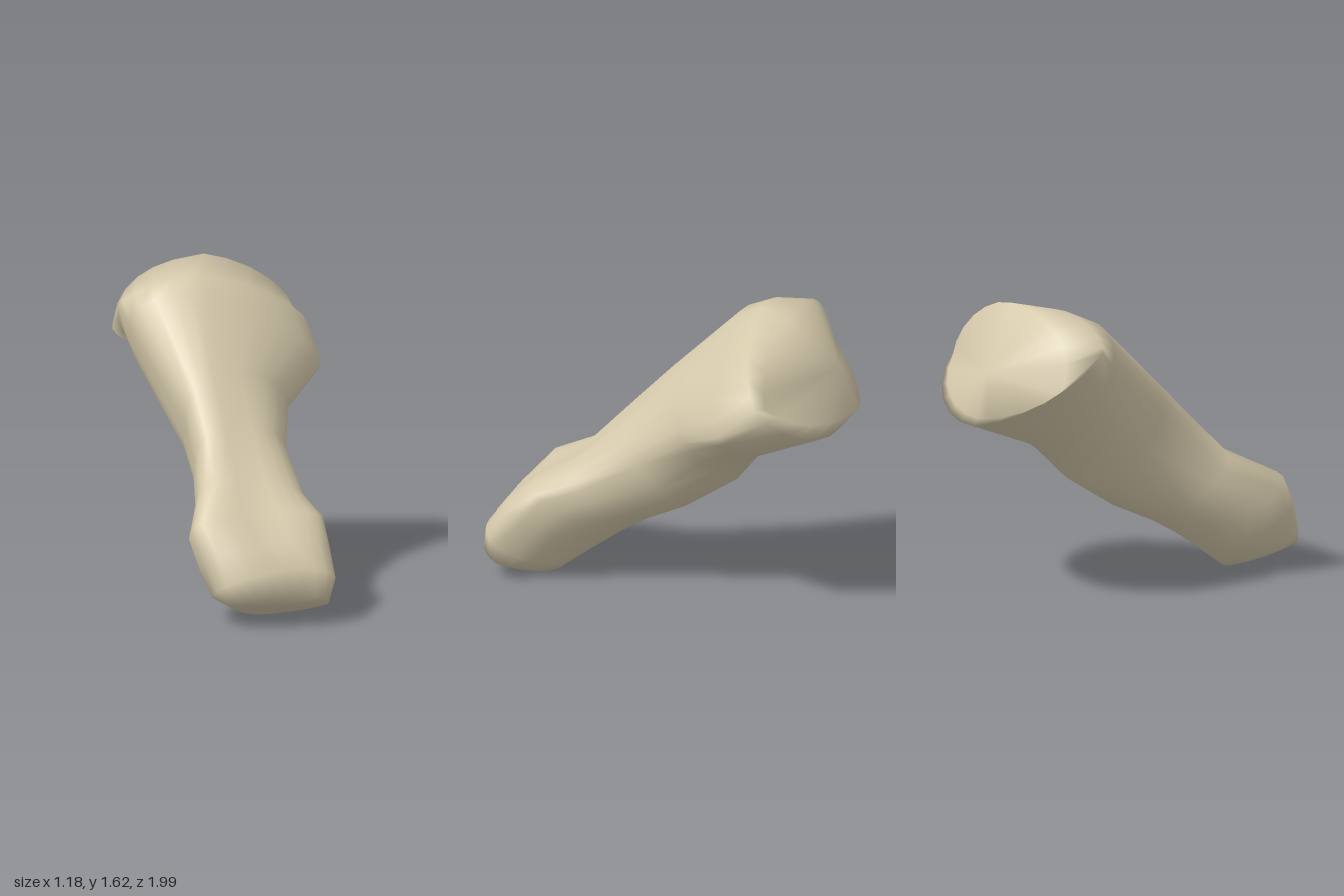
import * as THREE from 'three';

// Cross-sections from the lower joint to the upper head.
// Each one: right (+x), top, left (-x) and underside points, then optionally how full each
// quarter is: right-top, top-left, left-under, under-right (low = square, high = pointed).
const SECTIONS = [
  [[0.07, 0.09, 0.90], [-0.02, 0.15, 0.99], [-0.46, 0.13, 0.90], [-0.20, 0, 0.62], [1.7, 1.2, 1.4, 1.1]],
  [[0.09, 0.17, 0.87], [-0.10, 0.30, 0.95], [-0.52, 0.19, 0.83], [-0.20, 0.06, 0.54]],
  [[0.13, 0.35, 0.76], [-0.20, 0.41, 0.85], [-0.56, 0.33, 0.73], [-0.20, 0.15, 0.41]],
  [[0.15, 0.48, 0.65], [-0.22, 0.54, 0.69], [-0.59, 0.48, 0.65], [-0.18, 0.23, 0.30]],
  [[0.13, 0.54, 0.46], [-0.18, 0.67, 0.48], [-0.44, 0.60, 0.38], [-0.14, 0.32, 0.16]],
  [[0.16, 0.72, 0.14], [-0.16, 0.91, 0.25], [-0.37, 0.74, 0.18], [-0.08, 0.44, -0.08]],
  [[0.29, 0.91, -0.13], [-0.12, 1.16, 0], [-0.335, 0.89, -0.02], [-0.03, 0.62, -0.35], [1.1, 0.9, 0.9, 1.3]],
  [[0.58, 1.06, -0.37], [-0.08, 1.48, -0.32], [-0.46, 1.34, -0.47], [0.02, 0.81, -0.50], [1.1, 1.3, 0.9, 1.4]],
  [[0.59, 1.23, -0.57], [-0.05, 1.56, -0.47], [-0.48, 1.42, -0.56], [0.10, 0.99, -0.92], [1.2, 1.5, 1, 1.1]],
  [[0.55, 1.23, -0.62], [0.06, 1.62, -0.70], [-0.42, 1.27, -0.78], [0, 1.07, -1], [1.1, 0.75, 1.4, 1]],
];
const SIDES = 24;

// Rounded ring through the four points of a section
function ring([r, t, l, u, fullness]) {
  const [right, top, left, under] = [r, t, l, u].map((p) => new THREE.Vector3(...p));
  const centre = new THREE.Vector3().add(right).add(top).add(left).add(under).multiplyScalar(0.25);
  return Array.from({ length: SIDES }, (_, j) => {
    const a = (j / SIDES) * Math.PI * 2;
    const c = Math.cos(a), s = Math.sin(a);
    const power = fullness ? fullness[Math.floor((4 * j) / SIDES)] : 0.95;
    return centre.clone()
      .addScaledVector((c > 0 ? right : left).clone().sub(centre), Math.abs(c) ** power)
      .addScaledVector((s > 0 ? top : under).clone().sub(centre), Math.abs(s) ** power);
  });
}

function boneGeometry() {
  const points = SECTIONS.flatMap(ring);
  const index = [];
  const last = SECTIONS.length - 1;
  const at = (i, j) => i * SIDES + (j % SIDES);
  // Side walls
  for (let i = 0; i < last; i++) {
    for (let j = 0; j < SIDES; j++) {
      const a = at(i, j), b = at(i, j + 1), c = at(i + 1, j + 1), d = at(i + 1, j);
      index.push(a, d, b, b, d, c);
    }
  }
  // End caps: hollow between the lower knuckles, and the sloping back of the head
  const lower = points.push(new THREE.Vector3(-0.18, 0.09, 0.84)) - 1;
  const upper = points.push(new THREE.Vector3(0.02, 1.29, -0.91)) - 1;
  for (let j = 0; j < SIDES; j++) {
    index.push(lower, at(0, j), at(0, j + 1));
    index.push(upper, at(last, j + 1), at(last, j));
  }
  const geometry = new THREE.BufferGeometry().setFromPoints(points);
  geometry.setIndex(index);
  geometry.computeVertexNormals();
  return geometry;
}

export function createModel() {
  const model = new THREE.Group();
  model.name = 'boneModel';
  const material = new THREE.MeshStandardMaterial({ color: 0xd6caac });
  material.name = 'bone';
  const bone = new THREE.Mesh(boneGeometry(), material);
  bone.name = 'bone';
  model.add(bone);
  return model;
}
